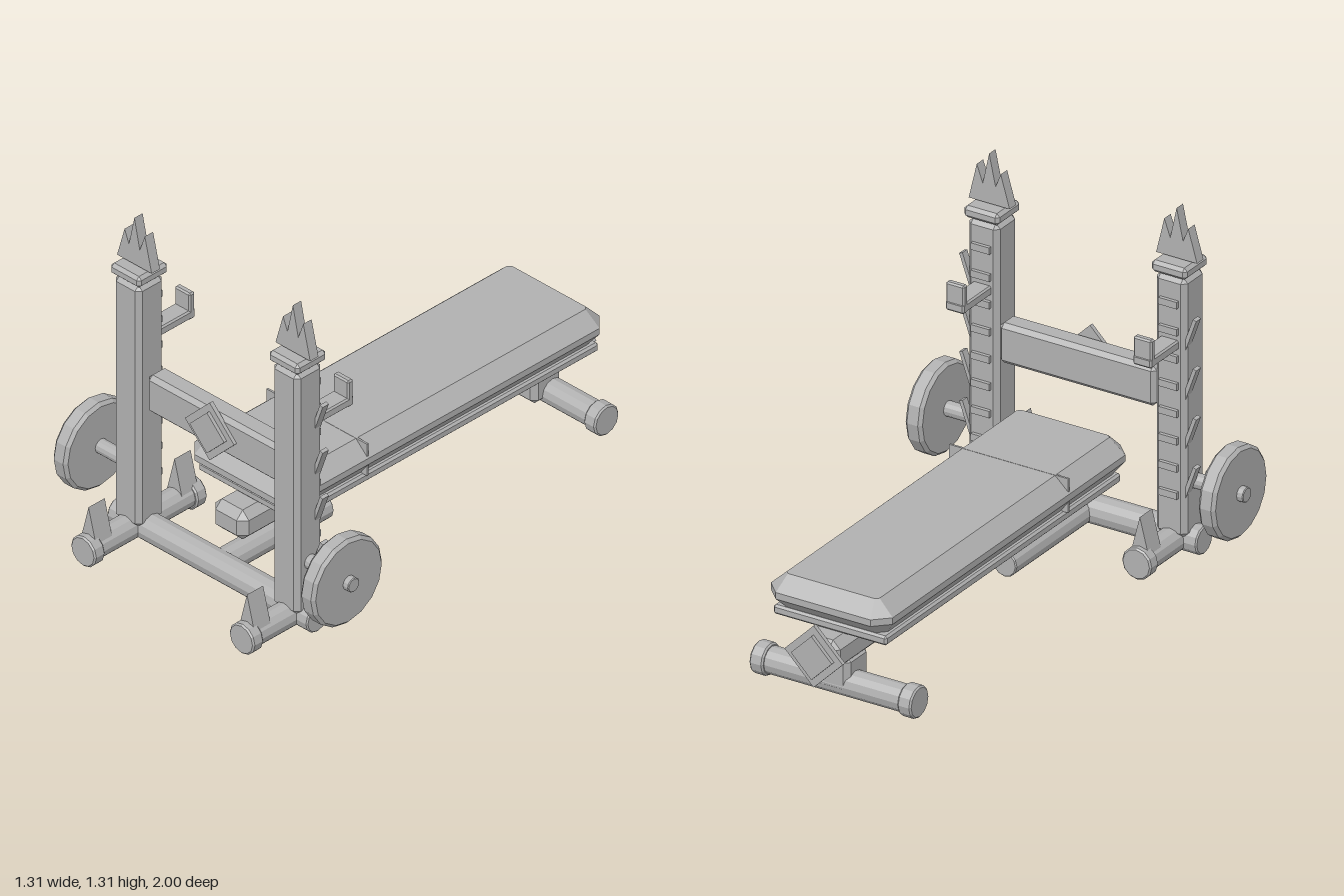
import * as THREE from 'three';
import { ConvexGeometry } from 'three/addons/geometries/ConvexGeometry.js';

export function createModel() {
  const model = new THREE.Group();
  const grey = new THREE.MeshStandardMaterial({ color: 0xb0b0b0 });
  grey.name = 'steel grey';

  const add = (name, geometry, x = 0, y = 0, z = 0, parent = model) => {
    const mesh = new THREE.Mesh(geometry, grey);
    mesh.name = name;
    mesh.position.set(x, y, z);
    parent.add(mesh);
    return mesh;
  };
  const hull = (pts) => new ConvexGeometry(pts.map((p) => new THREE.Vector3(...p)));

  // Box with every edge chamfered by c
  const chamferBox = (w, h, d, c) => {
    const pts = [];
    for (const i of [-1, 1]) for (const j of [-1, 1]) for (const k of [-1, 1]) {
      const [x, y, z] = [i * w / 2, j * h / 2, k * d / 2];
      const [u, v, t] = [x - i * c, y - j * c, z - k * c];
      pts.push([x, v, t], [u, y, t], [u, v, z]);
    }
    return hull(pts);
  };

  // Faceted round bar with bevelled rims, lying along an axis
  const bar = (r, length, bevel, sides, axis) => {
    const h = length / 2;
    const profile = [[0, -h], [r - bevel, -h], [r, -h + bevel], [r, h - bevel], [r - bevel, h], [0, h]];
    const g = new THREE.LatheGeometry(profile.map((p) => new THREE.Vector2(...p)), sides).toNonIndexed();
    g.computeVertexNormals();
    if (axis === 'x') g.rotateZ(Math.PI / 2);
    if (axis === 'z') g.rotateX(Math.PI / 2);
    return g;
  };

  // Flat outline extruded along z and centred on it
  const plate = (pts, depth) => {
    const shape = new THREE.Shape(pts.map((p) => new THREE.Vector2(...p)));
    return new THREE.ExtrudeGeometry(shape, { depth, bevelEnabled: false }).translate(0, 0, -depth / 2);
  };
  const diamond = (r, depth) => plate([[r, 0], [0, r], [-r, 0], [0, -r]], depth);

  // Uprights with their feet, spikes, hooks and plates
  const crown = [[-0.083, 0], [0.083, 0], [0.05, 0.137], [0.026, 0.07], [0, 0.19], [-0.026, 0.07], [-0.047, 0.123]];
  for (const s of [-1, 1]) {
    const side = new THREE.Group();
    side.name = s > 0 ? 'leftUpright' : 'rightUpright';
    side.position.x = s * 0.38;
    model.add(side);

    add('post', chamferBox(0.126, 0.99, 0.128, 0.018), 0, 0.577, 0.729, side);
    add('postCap', chamferBox(0.143, 0.045, 0.146, 0.012), 0, 1.098, 0.727, side);
    add('crownSpikes', plate(crown, 0.04), 0, 1.125, 0.73, side);

    add('footTube', bar(0.05, 0.5, 0.004, 12, 'z'), 0, 0.063, 0.728, side);
    for (const z of [0.975, 0.48]) add('footCap', bar(0.06, 0.05, 0.006, 12, 'z'), 0, 0.063, z, side);
    for (const z of [0.933, 0.517]) {
      add('footSpike', plate([[-0.037, 0], [0.037, 0], [0, 0.143]], 0.078), 0, 0.09, z, side);
    }

    add('hookArm', chamferBox(0.075, 0.036, 0.18, 0.006), 0, 0.82, 0.58, side);
    add('hookLip', chamferBox(0.075, 0.108, 0.027, 0.006), 0, 0.854, 0.506, side);

    // Rungs up the back of the post
    for (let i = 0; i < 8; i++) {
      add('rung', new THREE.BoxGeometry(0.075, 0.026, 0.025), 0, 0.976 - i * 0.104, 0.664, side);
    }
    // Tilted barbs on the outer face
    for (let i = 0; i < 4; i++) {
      const barb = add('barb', new THREE.BoxGeometry(0.014, 0.13, 0.03), s * 0.072, 0.863 - i * 0.188, 0.692, side);
      barb.rotation.z = -s * 0.34;
    }

    // Weight disc on its axle
    add('axle', bar(0.028, 0.23, 0.003, 12, 'x'), s * 0.158, 0.285, 0.73, side);
    add('weightDisc', bar(0.172, 0.068, 0.012, 16, 'x'), s * 0.214, 0.285, 0.73, side);

    add('rearFootCap', bar(0.06, 0.055, 0.006, 12, 'x'), s * 0.3 - s * 0.38, 0.065, -0.825, side);
  }

  // Beams between the uprights
  add('crossBeam', chamferBox(0.635, 0.153, 0.09, 0.016), 0, 0.627, 0.712);
  add('lowerCrossTube', bar(0.053, 0.96, 0.005, 12, 'x'), 0, 0.065, 0.73);
  add('lowerCentreTube', bar(0.049, 0.5, 0.004, 12, 'z'), 0, 0.062, 0.465);

  // Diamond badges at the front and the rear
  add('frontDiamond', diamond(0.118, 0.016), 0, 0.627, 0.762);
  add('frontDiamondInset', diamond(0.083, 0.014), 0, 0.627, 0.776);
  add('rearDiamond', diamond(0.118, 0.016), 0, 0.218, -0.977);
  add('rearDiamondInset', diamond(0.083, 0.015), 0, 0.218, -0.992);

  // Bench frame
  add('spine', chamferBox(0.16, 0.12, 1.66, 0.03), 0, 0.216, -0.14);
  add('rearLeg', chamferBox(0.134, 0.14, 0.138, 0.02), 0, 0.108, -0.805);
  add('rearFootTube', bar(0.05, 0.6, 0.004, 12, 'x'), 0, 0.065, -0.825);
  add('padBoard', chamferBox(0.46, 0.036, 1.48, 0.008), 0, 0.294, -0.145);

  // Bench pad from three stacked outlines with cut corners
  const padPts = [];
  for (const [y, x, z, c] of [[0.31, 0.21, 0.735, 0.03], [0.36, 0.247, 0.787, 0.055], [0.385, 0.247, 0.787, 0.055], [0.44, 0.188, 0.735, 0.012]]) {
    for (const i of [-1, 1]) for (const k of [-1, 1]) {
      padPts.push([i * x, y, k * (z - c)], [i * (x - c), y, k * z]);
    }
  }
  add('benchPad', hull(padPts), 0, 0, -0.138);
  add('padSeam', new THREE.BoxGeometry(0.482, 0.13, 0.008), 0, 0.376, 0.247);

  return model;
}
